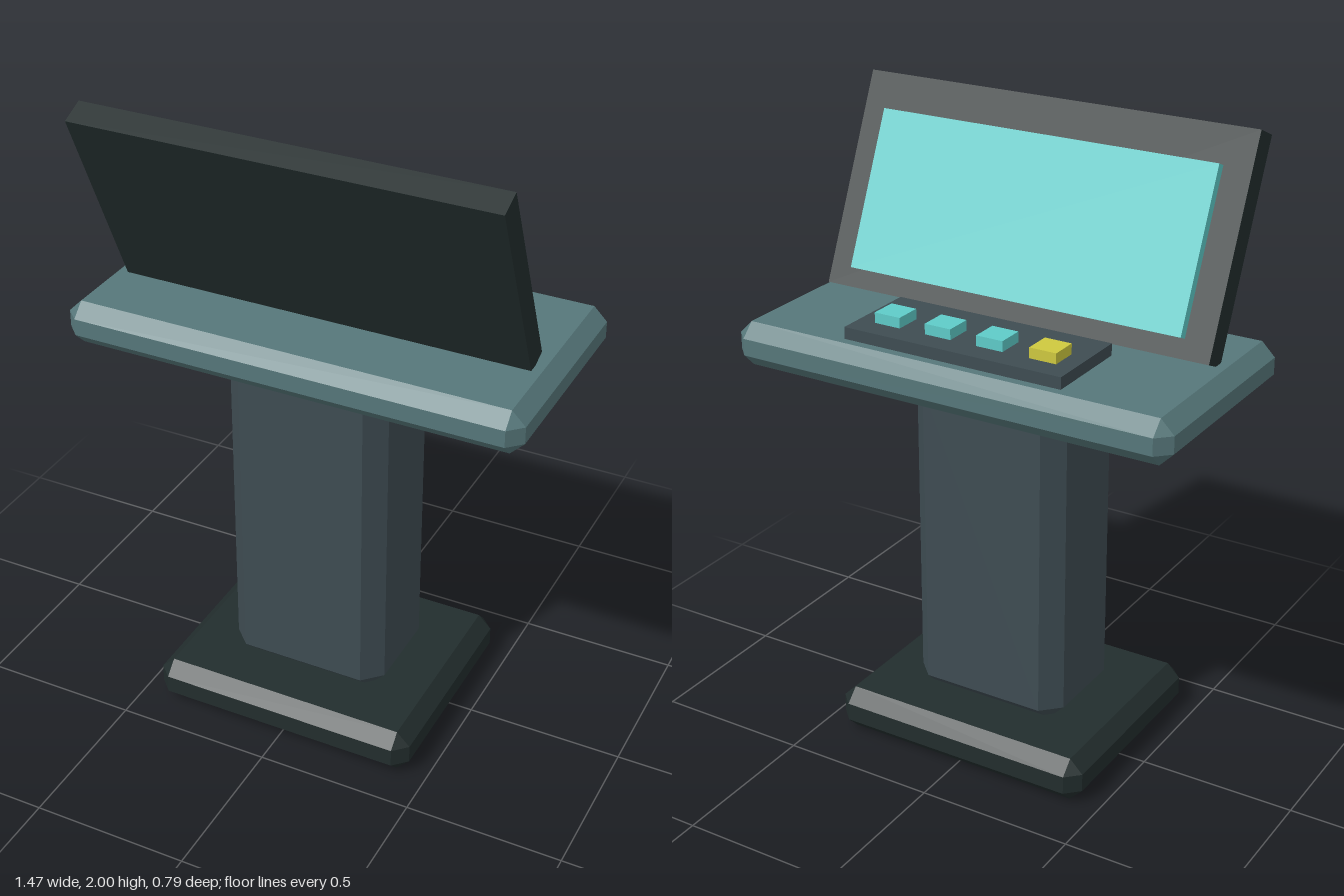
import * as THREE from 'three';
import { ConvexGeometry } from 'three/addons/geometries/ConvexGeometry.js';

const material = (name, color) => {
  const m = new THREE.MeshStandardMaterial({ color });
  m.name = name;
  return m;
};

// Box with every edge cut by the same chamfer
function chamferedBox(w, h, d, c) {
  const half = [w / 2, h / 2, d / 2];
  const points = [];
  for (const sx of [-1, 1]) for (const sy of [-1, 1]) for (const sz of [-1, 1]) {
    for (let axis = 0; axis < 3; axis++) {
      const p = half.map((v, i) => (i === axis ? v : v - c));
      points.push(new THREE.Vector3(sx * p[0], sy * p[1], sz * p[2]));
    }
  }
  return new ConvexGeometry(points);
}

export function createModel() {
  const model = new THREE.Group();
  model.name = 'consoleStand';

  const charcoal = material('charcoal', 0x222d2d);
  const slate = material('slate', 0x3e4c52);
  const blueGrey = material('blueGrey', 0x56777a);
  const cyan = material('cyan', 0x5ecbc8);
  const yellow = material('yellow', 0xcec93f);

  const add = (parent, name, geometry, mat, x, y, z) => {
    const mesh = new THREE.Mesh(geometry, mat);
    mesh.name = name;
    mesh.position.set(x, y, z);
    parent.add(mesh);
    return mesh;
  };
  const box = (w, h, d) => new THREE.BoxGeometry(w, h, d);

  // Pedestal and desk
  add(model, 'base', chamferedBox(0.88, 0.145, 0.735, 0.043), charcoal, 0, 0.0725, 0.03);
  add(model, 'column', chamferedBox(0.526, 1.12, 0.38, 0.058), slate, 0, 0.68, 0.03);
  add(model, 'desk', chamferedBox(1.466, 0.14, 0.735, 0.043), blueGrey, 0, 1.295, -0.028);

  // Tilted display, its lit side facing the back
  const display = new THREE.Group();
  display.name = 'display';
  display.position.set(0, 1.677, 0.175);
  display.rotation.x = 0.42;
  add(display, 'displayCase', box(1.32, 0.674, 0.082), charcoal, 0, 0, 0);
  add(display, 'screen', box(1.14, 0.5, 0.06), cyan, 0, -0.028, -0.041);
  model.add(display);

  // Control panel with a row of buttons
  add(model, 'controlPanel', box(0.732, 0.045, 0.294), slate, 0, 1.38, -0.178);
  for (let i = 0; i < 4; i++) {
    add(model, 'button' + (i + 1), box(0.088, 0.045, 0.088), i ? cyan : yellow,
      -0.264 + i * 0.176, 1.413, -0.207);
  }
  return model;
}
